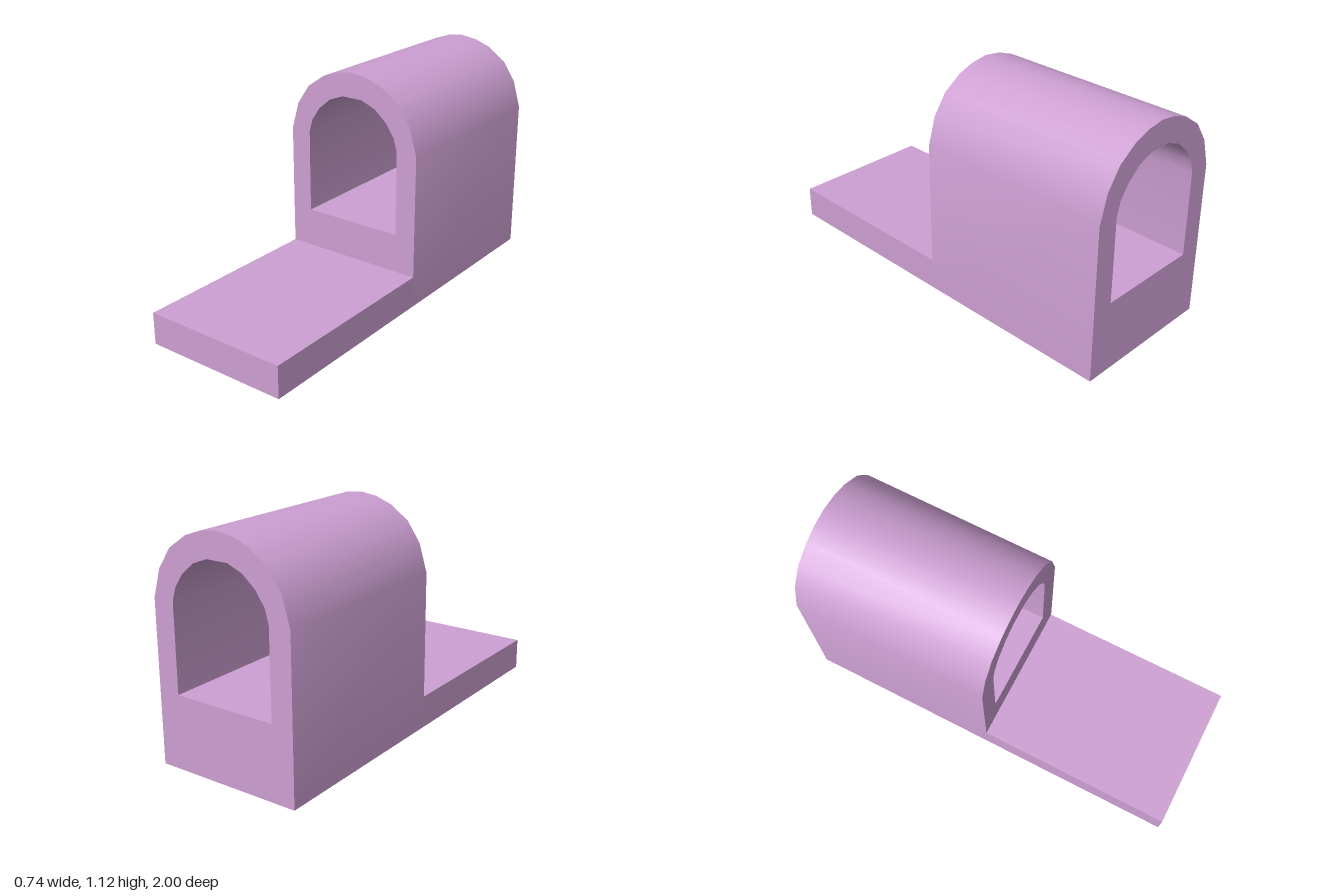
import * as THREE from 'three';
import { toCreasedNormals } from 'three/addons/utils/BufferGeometryUtils.js';

// Right half of each arch, from its springing line up towards the crown
const OUTER = [[0.372, 0.78], [0.332, 0.916], [0.265, 1.014], [0.17, 1.08], [0.087, 1.11], [0, 1.122]];
const INNER = [[0.263, 0.78], [0.244, 0.845], [0.2, 0.91], [0.133, 0.967], [0.056, 0.997]];

// Closed outline: flat bottom, straight sides and a mirrored arch
function archOutline(half, bottom) {
  const left = half.filter(([x]) => x > 0).map(([x, y]) => [-x, y]).reverse();
  const width = half[0][0];
  return [[-width, bottom], [width, bottom], ...half, ...left]
    .map(([x, y]) => new THREE.Vector2(x, y));
}

export function createModel() {
  const model = new THREE.Group();
  model.name = 'archedTunnel';
  const material = new THREE.MeshStandardMaterial({ color: 0xcc9fd2 });

  // Tunnel block with an arched passage running through it
  const shape = new THREE.Shape(archOutline(OUTER, 0));
  shape.holes.push(new THREE.Path(archOutline(INNER, 0.357)));
  const tunnelGeometry = new THREE.ExtrudeGeometry(shape, { depth: 1, bevelEnabled: false });
  tunnelGeometry.translate(0, 0, -1);
  const tunnel = new THREE.Mesh(toCreasedNormals(tunnelGeometry, 0.6), material);
  tunnel.name = 'tunnel';

  // Low slab in front of the tunnel
  const slab = new THREE.Mesh(new THREE.BoxGeometry(0.744, 0.16, 1), material);
  slab.name = 'frontSlab';
  slab.position.set(0, 0.08, 0.5);

  model.add(tunnel, slab);
  return model;
}
